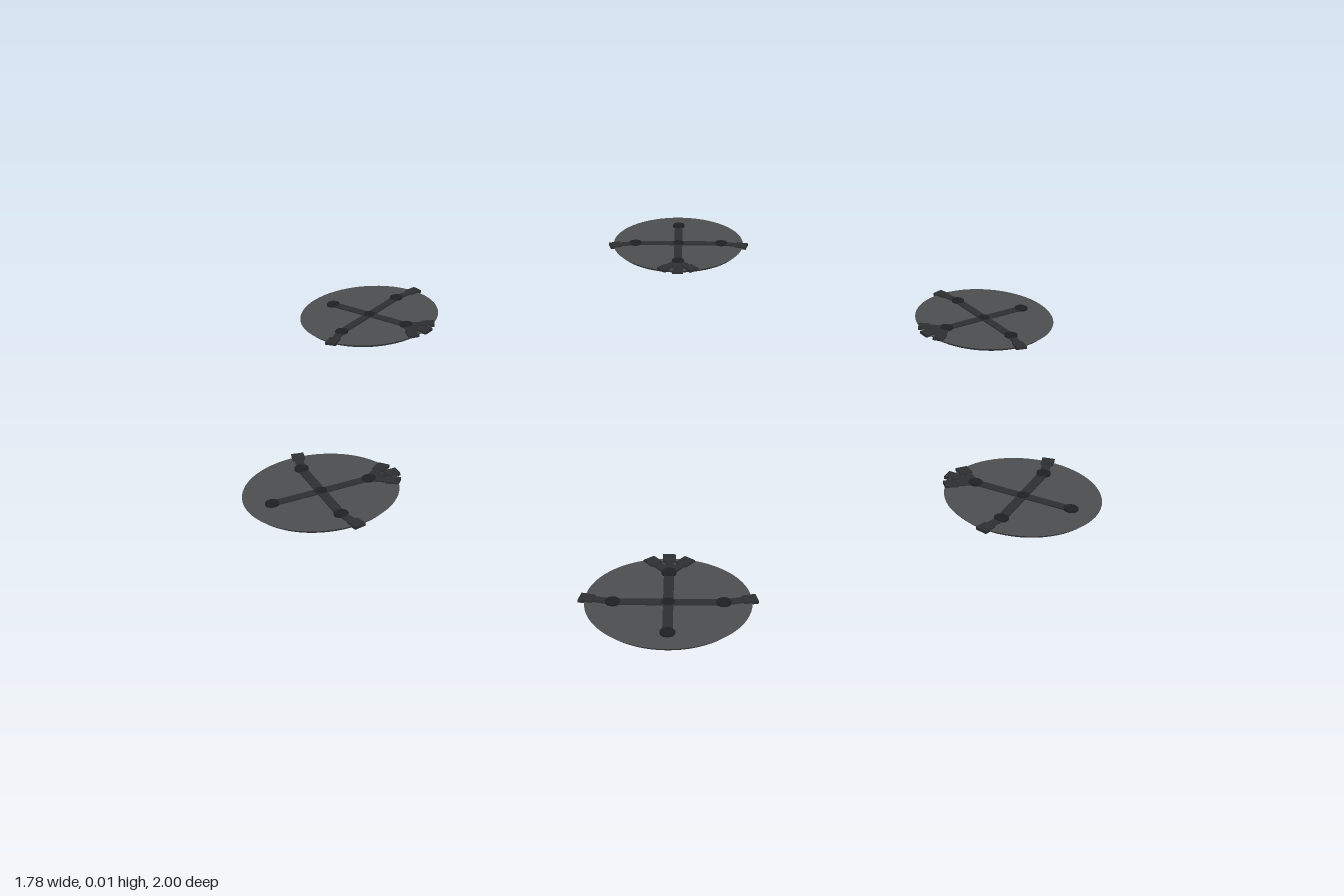
import * as THREE from 'three';

const RING = 0.838;    // distance of each pad from the middle
const RADIUS = 0.162;  // pad radius
const KNOT = 0.107;    // distance of the joints from the pad centre

const padMat = new THREE.MeshStandardMaterial({ color: 0x4c4d4f });
const strutMat = new THREE.MeshStandardMaterial({ color: 0x2c2e30 });
const jointMat = new THREE.MeshStandardMaterial({ color: 0x1e2022 });

function add(parent, name, geometry, material, x, y, z) {
  const mesh = new THREE.Mesh(geometry, material);
  mesh.name = name;
  mesh.position.set(x, y, z);
  parent.add(mesh);
  return mesh;
}

// Flat bar starting at (x, z) and running at an angle measured from +z towards +x
function bar(parent, name, x, z, angle, length, width, bottom, top) {
  const geometry = new THREE.BoxGeometry(width, top - bottom, length);
  const mesh = add(parent, name, geometry, strutMat,
    x + Math.sin(angle) * length / 2, (bottom + top) / 2, z + Math.cos(angle) * length / 2);
  mesh.rotation.y = angle;
  return mesh;
}

// Finger: thin link with a wider tip that hangs over the rim
function finger(parent, x, z, degrees) {
  const a = THREE.MathUtils.degToRad(degrees);
  bar(parent, 'fingerLink', x, z, a, 0.05, 0.018, 0.007, 0.0115);
  bar(parent, 'fingerTip', x + Math.sin(a) * 0.038, z + Math.cos(a) * 0.038, a, 0.028, 0.026, 0.006, 0.0125);
}

function createPad() {
  const pad = new THREE.Group();
  pad.name = 'pad';

  // Disc, narrower at the bottom
  add(pad, 'disc', new THREE.CylinderGeometry(RADIUS, 0.152, 0.009, 64), padMat, 0, 0.0045, 0);

  // Cross of four arms with a joint at the end of each
  for (let i = 0; i < 4; i++) {
    const a = i * Math.PI / 2;
    bar(pad, 'arm', 0, 0, a, KNOT, 0.02, 0.007, 0.0115);
    add(pad, 'joint', new THREE.CylinderGeometry(0.015, 0.015, 0.006, 16), jointMat,
      Math.sin(a) * KNOT, 0.01, Math.cos(a) * KNOT);
  }
  add(pad, 'hub', new THREE.CylinderGeometry(0.013, 0.013, 0.006, 16), jointMat, 0, 0.01, 0);

  // Three splayed fingers facing the middle, one on each side
  for (const spread of [-38, 0, 38]) finger(pad, 0, -KNOT, 180 + spread);
  for (const side of [-1, 1]) finger(pad, side * KNOT, 0, side * 104);
  return pad;
}

export function createModel() {
  const model = new THREE.Group();
  model.name = 'padRing';
  for (let i = 0; i < 6; i++) {
    const angle = i * Math.PI / 3;
    const pad = createPad();
    pad.position.set(Math.sin(angle) * RING, 0, Math.cos(angle) * RING);
    pad.rotation.y = angle;
    model.add(pad);
  }
  return model;
}
